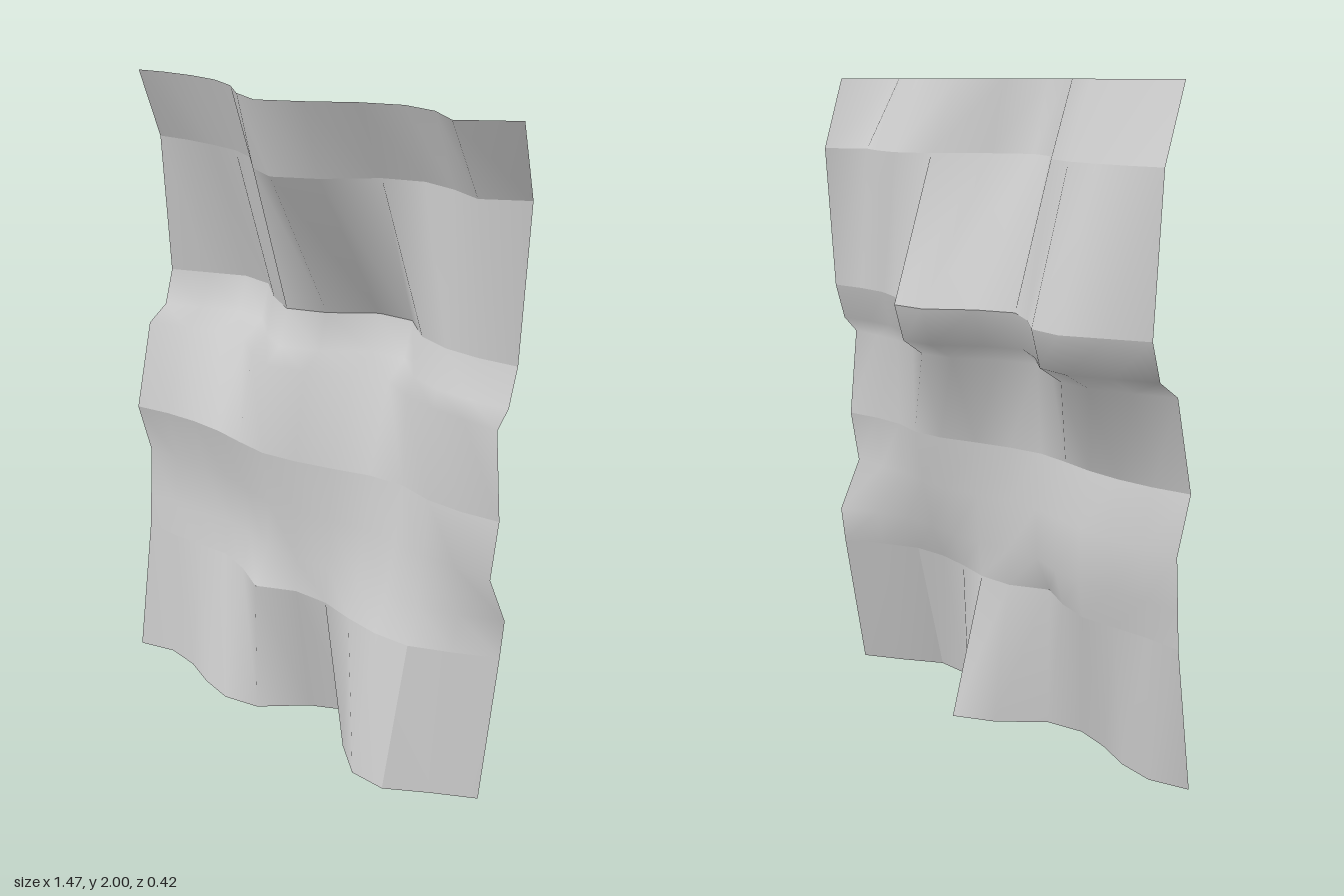
import * as THREE from 'three';

const LEFT = -0.735, STEP = 0.12, LAST = 12;

// depth of the cloth along its sharpest fold, from -x to +x
const fold = [-0.1, -0.155, -0.21, -0.195, -0.1, -0.035, -0.085, -0.19, -0.2, -0.1, -0.06, -0.055, -0.07];

// cross-sections of the cloth from the hem upward
const hem = { y: 0, z: [0.1, 0.06, 0.075, 0.12, 0.145, 0.115, -0.01, -0.08, 0.09, 0.178, 0.178, 0.095, 0.02] };
const low = { y: 0.445, z: [0.037, 0.04, 0.03, 0.02, 0.055, 0.115, 0.052, 0.045, 0.07, 0.085, 0.075, 0.015, -0.055] };
const lowDip = { y: 0.56, z: [0.03, 0.025, 0.01, 0, 0.02, 0.06, 0.05, 0.035, 0.03, 0.04, 0.035, -0.005, -0.07] };
const waist = { y: 0.72, z: [0.02, 0.01, 0, 0.005, 0.03, 0.055, 0.05, 0.025, 0, 0, 0.015, 0.015, 0.01] };
const middle = { y: 0.89, z: [0.07, 0.045, 0.035, 0.04, 0.06, 0.075, 0.055, 0.02, -0.02, -0.03, 0, 0, -0.02] };
const foldFoot = { y: 1.17, z: [0.005, -0.045, -0.09, -0.08, 0, 0.055, 0.01, -0.075, -0.095, -0.035, -0.005, 0.005, 0.01] };
const foldLip = { y: 1.22, z: fold.map((z) => z + 0.033) };
const foldLine = { y: 1.333, z: fold };
const high = { y: 1.78, z: [-0.07, -0.08, -0.075, -0.06, -0.01, 0.1, 0.15, 0.08, -0.05, -0.095, -0.07, -0.02, -0.1] };
const top = { y: 2, flare: 0.025, z: [0.03, 0.01, 0.005, 0.02, 0.07, 0.16, 0.21, 0.14, 0.05, 0, 0.02, 0.1, -0.01] };

// smooth strip of cloth lofted through cross-sections, between two columns
function band(name, rows, material, from = 0, to = LAST) {
  const positions = [], index = [], width = to - from + 1;
  rows.forEach(({ y, z, flare = 0 }, r) => {
    for (let c = from; c <= to; c++) {
      const shift = c === 0 || c === LAST ? flare : 0;
      positions.push(LEFT + c * STEP + shift, y, z[c]);
      if (r > 0 && c > from) {
        const d = r * width + c - from, b = d - width;
        index.push(b - 1, b, d - 1, b, d, d - 1);
      }
    }
  });
  const geometry = new THREE.BufferGeometry();
  geometry.setAttribute('position', new THREE.Float32BufferAttribute(positions, 3));
  geometry.setIndex(index);
  geometry.computeVertexNormals();
  const mesh = new THREE.Mesh(geometry, material);
  mesh.name = name;
  return mesh;
}

export function createModel() {
  const group = new THREE.Group();
  group.name = 'wavyCloth';
  const material = new THREE.MeshStandardMaterial({ color: 0xcccccc, side: THREE.DoubleSide });

  // bands meet in horizontal creases; the hem also has one vertical crease
  group.add(
    band('hemBand', [hem, low], material, 0, 10),
    band('hemCorner', [hem, low], material, 10, LAST),
    band('lowerBand', [low, lowDip, waist, middle], material),
    band('middleBand', [middle, foldFoot, foldLip, foldLine], material),
    band('upperBand', [foldLine, high], material),
    band('topBand', [high, top], material),
  );
  return group;
}
